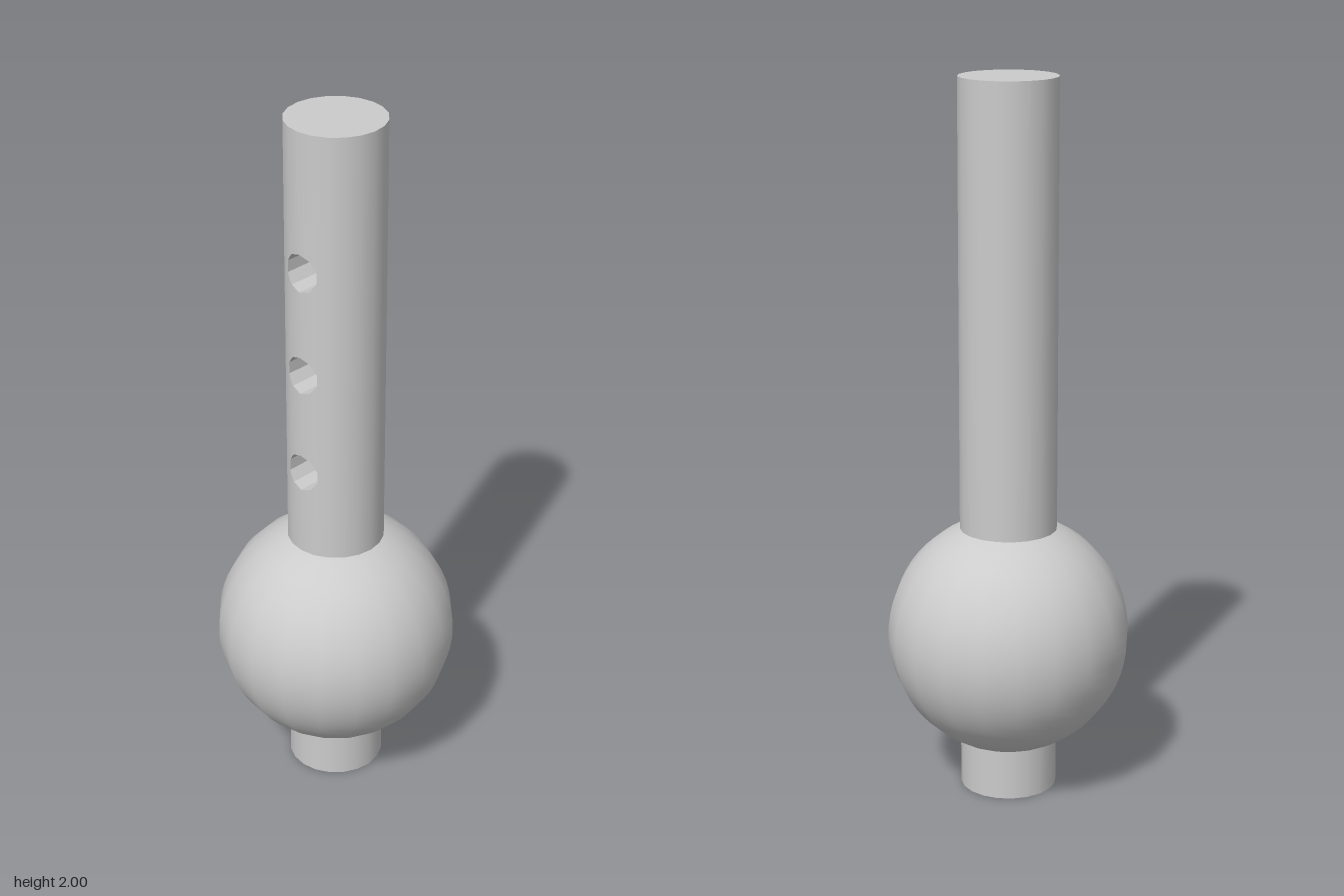
import * as THREE from 'three';

const R = 0.135, SIDES = 20;            // tube radius and facets
const HOLE_R = 0.054, PANEL_H = 0.3;    // finger holes and the wall panel around each
const HOLES = [1.01, 1.31, 1.61];
const STEP = (2 * Math.PI) / SIDES, HALF = 2 * STEP;   // panels span two facets each way
const LOW = HOLES[0] - PANEL_H / 2, HIGH = HOLES[2] + PANEL_H / 2;
const POINTS = 80;

// distance from the axis to the faceted wall at angle a
function wallRadius(a) {
  const local = a - (Math.floor(a / STEP + 1e-6) + 0.5) * STEP;
  return R * Math.cos(STEP / 2) / Math.cos(local);
}

// square perimeter coordinate, q runs 0..8 round the square
function squareX(q) {
  const m = ((q % 8) + 8) % 8;
  return THREE.MathUtils.clamp(2 - Math.min(m, 8 - m), -1, 1);
}

// point i on the ten-sided hole rim
function rim(i) {
  const t = (2 * Math.PI * i) / POINTS;
  const off = ((i + 4) % 8 - 4) * (2 * Math.PI / POINTS);
  const r = HOLE_R * Math.cos(Math.PI / 10) / Math.cos(off);
  return { x: r * Math.cos(t), y: r * Math.sin(t) };
}

// wall patch stretching from the hole rim out to a rectangle, wrapped on the tube
function panelGeometry() {
  const g = new THREE.PlaneGeometry(1, 1, POINTS, 6);
  const p = g.attributes.position, n = g.attributes.normal;
  for (let k = 0; k < p.count; k++) {
    const i = Math.round((p.getX(k) + 0.5) * POINTS), s = 0.5 - p.getY(k);
    const h = rim(i), q = (8 * i) / POINTS;
    const a = THREE.MathUtils.lerp(Math.asin(h.x / R), HALF * squareX(q), s);
    const y = THREE.MathUtils.lerp(h.y, (PANEL_H / 2) * squareX(q - 2), s);
    const r = wallRadius(a);
    p.setXYZ(k, r * Math.sin(a), y, r * Math.cos(a));
    n.setXYZ(k, Math.sin(a), 0, Math.cos(a));
  }
  return g;
}

// inner wall of a hole, from the rim on the tube back to the axis
function boreGeometry() {
  const g = new THREE.PlaneGeometry(1, 1, POINTS, 1), p = g.attributes.position;
  for (let k = 0; k < p.count; k++) {
    const h = rim(Math.round((p.getX(k) + 0.5) * POINTS));
    const a = Math.asin(h.x / R);
    p.setXYZ(k, h.x, h.y, p.getY(k) > 0 ? 0 : wallRadius(a) * Math.cos(a));
  }
  const flat = g.toNonIndexed();
  flat.computeVertexNormals();
  return flat;
}

export function createModel() {
  const model = new THREE.Group();
  const grey = new THREE.MeshStandardMaterial({ color: 0xcccccc });
  const add = (name, geometry, y, parent = model) => {
    const mesh = new THREE.Mesh(geometry, grey);
    mesh.name = name;
    mesh.position.y = y;
    parent.add(mesh);
    return mesh;
  };
  const tube = (y0, y1, start = 0, count = SIDES) =>
    new THREE.CylinderGeometry(R, R, y1 - y0, count, 1, true, start, count * STEP);

  // tube: full rings below and above the holes, back wall between them
  add('lowerTube', tube(0, LOW), LOW / 2);
  add('tubeBackWall', tube(LOW, HIGH, HALF, SIDES - 4), (LOW + HIGH) / 2);
  add('upperTube', tube(HIGH, 2), (HIGH + 2) / 2);

  // end caps
  add('topCap', new THREE.CircleGeometry(R, SIDES).rotateX(-Math.PI / 2), 2);
  add('bottomCap', new THREE.CircleGeometry(R, SIDES).rotateX(Math.PI / 2), 0);

  // round bulb
  add('bulb', new THREE.SphereGeometry(0.337, SIDES, 32), 0.45);

  // finger holes down the front
  const panel = panelGeometry(), bore = boreGeometry();
  const floor = new THREE.CircleGeometry(HOLE_R, 10, Math.PI / 2);
  for (const y of HOLES) {
    const hole = new THREE.Group();
    hole.name = 'fingerHole';
    hole.position.y = y;
    add('holeSurround', panel, 0, hole);
    add('holeWall', bore, 0, hole);
    add('holeFloor', floor, 0, hole);
    model.add(hole);
  }
  return model;
}
